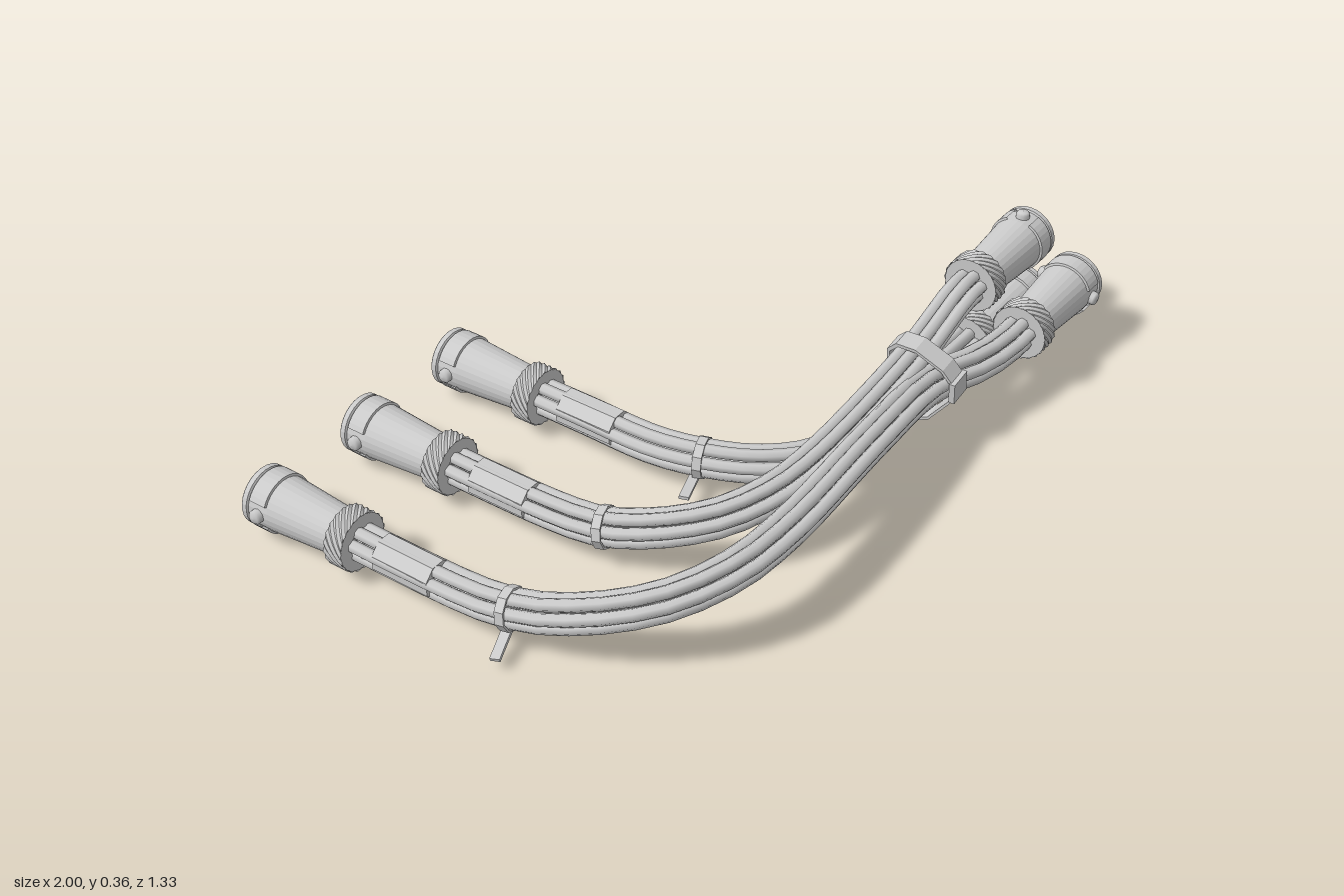
import * as THREE from 'three';

const V = (x, y, z) => new THREE.Vector3(x, y, z);
const UP = V(0, 1, 0);
const material = new THREE.MeshStandardMaterial({ color: 0xcccccc, side: THREE.DoubleSide });
const flat = new THREE.MeshStandardMaterial({ color: 0xcccccc, flatShading: true, side: THREE.DoubleSide });

function add(parent, name, geometry, mat = flat) {
  const mesh = new THREE.Mesh(geometry, mat);
  mesh.name = name;
  parent.add(mesh);
  return mesh;
}

const lathe = (pts, segments = 28, start = 0, length = Math.PI * 2) =>
  new THREE.LatheGeometry(pts.map(p => new THREE.Vector2(...p)), segments, start, length);

// Collar with a diamond grip: every second vertex is pushed inwards
function knurlGeometry(radius, height) {
  const around = 40, rows = 6;
  const g = new THREE.CylinderGeometry(radius, radius, height, around, rows, true);
  const p = g.attributes.position;
  for (let i = 0; i < p.count; i++) {
    const row = Math.floor(i / (around + 1)), col = i % (around + 1);
    const k = (row + col) % 2 ? 0.945 : 1;
    p.setXYZ(i, p.getX(i) * k, p.getY(i), p.getZ(i) * k);
  }
  return g;
}

// Plug along local +y, its rear at the origin
function makeConnector(name, position, rotation, roll) {
  const group = new THREE.Group();
  group.name = name;
  group.position.copy(position);
  group.rotation.set(...rotation);
  const body = new THREE.Group();
  body.rotation.y = roll;
  group.add(body);

  add(body, 'connectorShell', lathe([
    [0, 0.004], [0.074, 0.004], [0.074, 0.052], [0.06, 0.055], [0.062, 0.075], [0.074, 0.245],
    [0.074, 0.305], [0.079, 0.308], [0.079, 0.322], [0.076, 0.325],
    [0.058, 0.325], [0.055, 0.322], [0.055, 0.3], [0, 0.3],
  ]));
  add(body, 'gripCollar', knurlGeometry(0.08, 0.055)).position.y = 0.0275;
  for (const y of [0.001, 0.054]) {
    const rim = add(body, 'collarRim', new THREE.RingGeometry(0.04, 0.077, 28));
    rim.rotation.x = -Math.PI / 2;
    rim.position.y = y;
  }
  // Two raised pads with a round lug in each gap
  for (const side of [0, Math.PI]) {
    add(body, 'lockingPad', lathe([
      [0.073, 0.248], [0.08, 0.25], [0.08, 0.3], [0.073, 0.302],
    ], 12, side + 0.45, Math.PI - 0.9));
    const lug = add(body, 'lockingLug', lathe([
      [0.019, 0], [0.019, 0.018], [0.014, 0.024], [0, 0.026],
    ], 12), material);
    lug.rotation.set(side ? -Math.PI / 2 : Math.PI / 2, 0, 0);
    lug.position.set(0, 0.275, side ? -0.066 : 0.066);
  }
  return group;
}

// Point and frame on a path
function frameAt(curve, u) {
  const point = curve.getPointAt(u), tangent = curve.getTangentAt(u);
  const side = V().crossVectors(tangent, UP).normalize();
  const up = V().crossVectors(side, tangent).normalize();
  return { point, tangent, side, up };
}

// Seven parallel wires following one path
function makeBundle(curve) {
  const group = new THREE.Group();
  group.name = 'wireBundle';
  const steps = 22;
  for (let w = 0; w < 7; w++) {
    const r = w === 6 ? 0 : 0.034, a = w * Math.PI / 3 + 0.25;
    const pts = [];
    for (let i = 0; i <= steps; i++) {
      const f = frameAt(curve, i / steps);
      pts.push(f.point.addScaledVector(f.side, r * Math.cos(a)).addScaledVector(f.up, r * Math.sin(a)));
    }
    add(group, 'wire', new THREE.TubeGeometry(new THREE.CatmullRomCurve3(pts), 30, 0.0168, 7), material);
  }
  return group;
}

// Cable tie around a bundle, with its loose tail
function makeTie(curve, atZ, from, to) {
  const group = new THREE.Group();
  group.name = 'cableTie';
  let u = 0;
  while (u < 1 && curve.getPointAt(u).z < atZ) u += 0.004;
  const f = frameAt(curve, u);
  const band = add(group, 'tieBand', lathe([
    [0.05, -0.012], [0.056, -0.012], [0.056, 0.012], [0.05, 0.012], [0.05, -0.012],
  ], 10));
  band.position.copy(f.point);
  band.quaternion.setFromUnitVectors(UP, f.tangent);

  const dir = V().subVectors(to, from);
  const tail = add(group, 'tieTail', new THREE.BoxGeometry(dir.length(), 0.009, 0.026));
  tail.position.addVectors(from, to).multiplyScalar(0.5);
  dir.normalize();
  const across = f.tangent.clone().addScaledVector(dir, -f.tangent.dot(dir)).normalize();
  tail.quaternion.setFromRotationMatrix(
    new THREE.Matrix4().makeBasis(dir, V().crossVectors(across, dir), across));
  return group;
}

// Wide strap holding all three bundles together
function makeStrap() {
  const group = new THREE.Group();
  group.name = 'mainStrap';
  const outline = [
    [0.375, 0.075], [0.395, 0.055], [0.46, 0.055], [0.5, 0.075], [0.565, 0.16],
    [0.565, 0.215], [0.535, 0.25], [0.455, 0.287], [0.4, 0.287], [0.375, 0.262],
  ].map(([z, y]) => new THREE.Vector2(z - 0.465, y - 0.17));
  const shape = new THREE.Shape(outline);
  shape.holes.push(new THREE.Path(outline.map(p => p.clone().multiplyScalar(0.92)).reverse()));
  const g = new THREE.ExtrudeGeometry(shape, { depth: 0.06, bevelEnabled: false });
  g.translate(0, 0, -0.03);
  add(group, 'strapBand', g).rotation.y = -Math.PI / 2;
  const clasp = add(group, 'strapClasp', new THREE.BoxGeometry(0.07, 0.06, 0.016));
  clasp.position.set(0, 0.02, 0.1);
  group.position.set(0.357, 0.17, 0.465);
  group.rotation.set(0, 0.06, 0.06);
  return group;
}

export function createModel() {
  const root = new THREE.Group();
  root.name = 'cableHarness';

  const runs = [
    { // outer run
      x: -0.905, end: [0.18, 0.57], roll: 0.15,
      mid: [[-0.9, 0.105, -0.02], [-0.885, 0.115, 0.13], [-0.83, 0.155, 0.3], [-0.73, 0.195, 0.44],
        [-0.58, 0.225, 0.525], [-0.38, 0.23, 0.545], [0, 0.225, 0.525], [0.35, 0.19, 0.505], [0.48, 0.18, 0.545]],
      tie: [0.1, V(-0.85, 0.07, 0.085), V(-0.985, 0.035, 0.13)],
    },
    { // middle run
      x: -0.55, end: [0.27, 0.415], roll: Math.PI / 2,
      mid: [[-0.545, 0.105, -0.02], [-0.53, 0.11, 0.1], [-0.48, 0.135, 0.23], [-0.39, 0.165, 0.35],
        [-0.26, 0.19, 0.42], [-0.1, 0.2, 0.44], [0.35, 0.225, 0.43], [0.48, 0.24, 0.42]],
      tie: [0.1, V(-0.54, 0.06, 0.1), V(-0.43, 0.07, 0.095)],
    },
    { // inner run
      x: -0.195, end: [0.085, 0.415], roll: 0.2,
      mid: [[-0.19, 0.1, 0], [-0.165, 0.1, 0.12], [-0.11, 0.1, 0.25], [-0.02, 0.1, 0.35],
        [0.1, 0.105, 0.41], [0.35, 0.1, 0.43], [0.5, 0.095, 0.42]],
      tie: [0.13, V(-0.14, 0.06, 0.115), V(-0.285, 0.065, 0.165)],
    },
  ];

  for (const { x, end, roll, mid, tie } of runs) {
    const [ey, ez] = end;
    const curve = new THREE.CatmullRomCurve3([
      V(x, 0.105, -0.36), V(x, 0.105, -0.2), ...mid.map(p => V(...p)), V(0.62, ey, ez), V(0.7, ey, ez),
    ]);
    root.add(makeBundle(curve));
    root.add(makeTie(curve, ...tie));

    // Wrapped sleeve behind the rear plug
    const sleeve = add(root, 'sleeve', lathe([
      [0.03, -0.085], [0.051, -0.085], [0.051, 0.085], [0.03, 0.085],
    ], 8, Math.PI / 8));
    sleeve.rotation.x = Math.PI / 2;
    sleeve.position.set(x + 0.002, 0.106, -0.185);

    root.add(makeConnector('rearConnector', V(x, 0.105, -0.34), [-Math.PI / 2, 0, 0], Math.PI / 2));
    root.add(makeConnector('sideConnector', V(0.675, ey, ez), [0, 0, -Math.PI / 2], roll));
  }
  root.add(makeStrap());
  return root;
}
